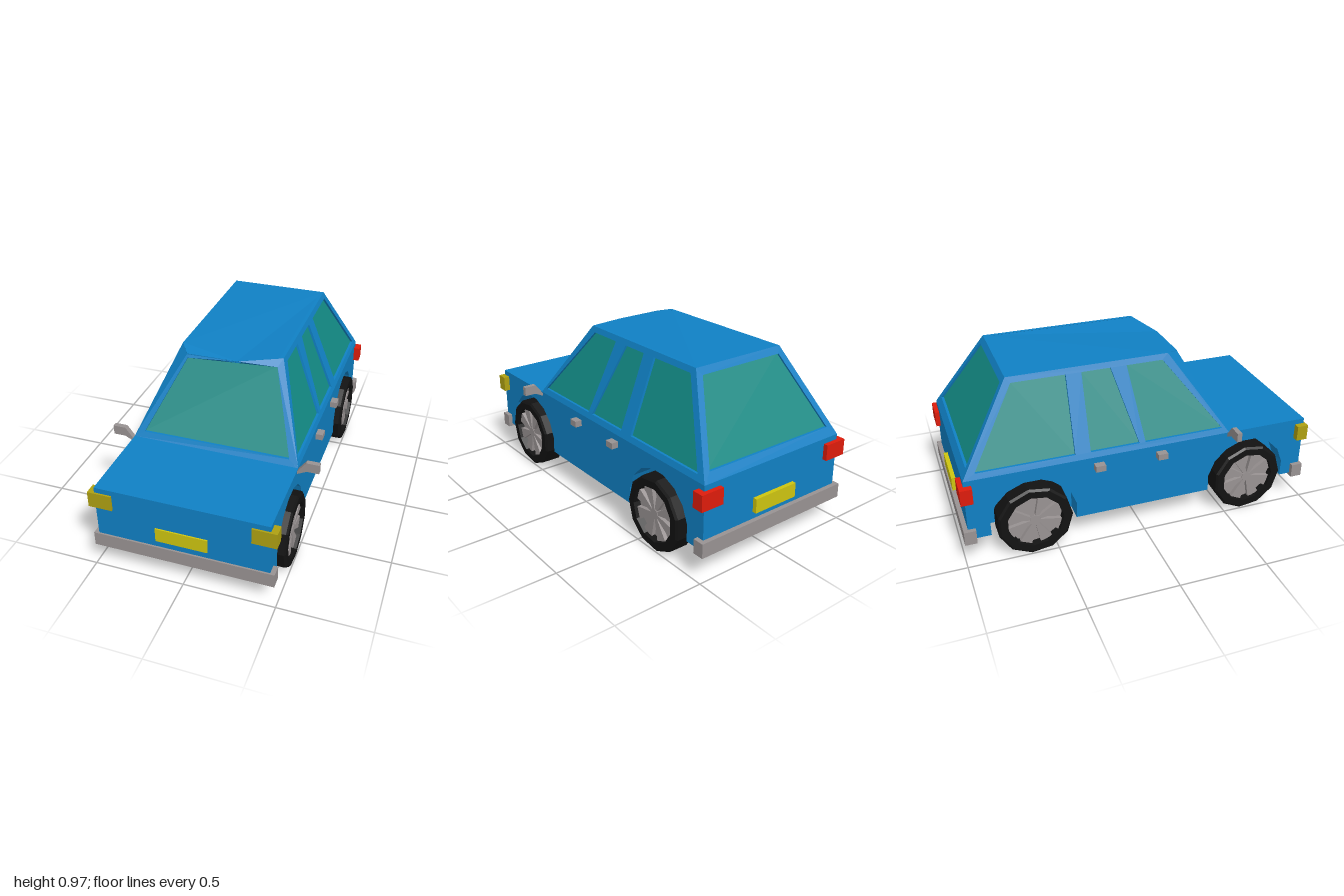
import * as THREE from 'three';

const paint = (color, side = THREE.DoubleSide) =>
  new THREE.MeshStandardMaterial({ color, side, flatShading: true });
const blue = paint(0x1080c4), glass = paint(0x128a84), black = paint(0x121212);
const grey = paint(0x989292), yellow = paint(0xcdc410), amber = paint(0xaea012), red = paint(0xdd1c0c);

function add(parent, name, geometry, material) {
  const mesh = new THREE.Mesh(geometry, material);
  mesh.name = name;
  parent.add(mesh);
  return mesh;
}

function box(parent, name, material, [x0, x1], [y0, y1], [z0, z1]) {
  const mesh = add(parent, name, new THREE.BoxGeometry(x1 - x0, y1 - y0, z1 - z0), material);
  mesh.position.set((x0 + x1) / 2, (y0 + y1) / 2, (z0 + z1) / 2);
  return mesh;
}

const shapeOf = (pts) => new THREE.Shape(pts.map(([a, b]) => new THREE.Vector2(a, b)));

// Places flat (a, b, depth) points in space by a rule
function bend(geometry, place) {
  const p = geometry.attributes.position;
  for (let i = 0; i < p.count; i++) p.setXYZ(i, ...place(p.getX(i), p.getY(i), p.getZ(i)));
  geometry.computeVertexNormals();
  return geometry;
}

// A thin sheet with window openings, and recessed panes in them
function panel(parent, name, outline, windows, place, thick = 0.02) {
  const shape = shapeOf(outline);
  windows.forEach((w) => shape.holes.push(shapeOf(w)));
  const sheet = new THREE.ExtrudeGeometry(shape, { depth: thick, bevelEnabled: false });
  add(parent, name, bend(sheet, (a, b, d) => place(a, b, d - thick)), blue);
  windows.forEach((w) => add(parent, name + 'Glass',
    bend(new THREE.ShapeGeometry(shapeOf(w)), (a, b) => place(a, b, -0.014)), glass));
}

const BELT = 0.515, ROOF = 0.97, SILL = 0.155, HALF = 0.465, FRONT = 0.99, BACK = -0.975;
const rise = (y) => (y - BELT) / (ROOF - BELT);
const AXLES = [0.635, -0.62], HUB_Y = 0.207, ARCH = 0.24;

// Arch points from front to back over one axle, as (-z, y)
function archPoints(axle) {
  const start = Math.asin((SILL - HUB_Y) / ARCH), pts = [];
  for (let i = 0; i <= 9; i++) {
    const t = Math.PI - start + (i / 9) * (2 * start - Math.PI);
    pts.push([-axle + ARCH * Math.cos(t), HUB_Y + ARCH * Math.sin(t)]);
  }
  return pts;
}

function makeWheel() {
  const wheel = new THREE.Group();
  wheel.name = 'wheel';
  const profile = [[0, -0.065], [0.19, -0.065], [0.207, -0.055], [0.207, 0.055], [0.195, 0.065], [0.155, 0.065], [0.15, 0.02]];
  const tyre = new THREE.LatheGeometry(profile.map(([r, h]) => new THREE.Vector2(r, h)), 11);
  add(wheel, 'tyre', tyre.rotateZ(-Math.PI / 2), black);
  const disc = new THREE.CylinderGeometry(0.153, 0.153, 0.01, 11).rotateZ(-Math.PI / 2);
  add(wheel, 'rimDisc', disc, grey).position.x = 0.02;
  add(wheel, 'hub', new THREE.CylinderGeometry(0.03, 0.03, 0.03, 8).rotateZ(-Math.PI / 2), grey).position.x = 0.035;
  const wedge = shapeOf([[-0.008, 0.02], [0.008, 0.02], [0.035, 0.148], [-0.035, 0.148]]);
  for (let i = 0; i < 8; i++) {
    const spoke = new THREE.ExtrudeGeometry(wedge, { depth: 0.025, bevelEnabled: false });
    spoke.rotateY(Math.PI / 2).rotateX((i + 0.5) * Math.PI / 4);
    add(wheel, 'spoke', spoke, grey).position.x = 0.022;
  }
  return wheel;
}

// Everything on one side of the car, built at +x
function makeSide() {
  const side = new THREE.Group();
  side.name = 'side';

  // Lower side with wheel arches cut out
  const arches = AXLES.map(archPoints);
  panel(side, 'lowerSide', [[-FRONT, BELT], [-FRONT, SILL], ...arches[0], ...arches[1], [-BACK, SILL], [-BACK, BELT]],
    [], (a, b, d) => [HALF + d, b, -a], 0.01);

  // Upper side with three windows
  const windows = [
    [[-0.47, 0.545], [0.015 * -1, 0.545], [0.04, 0.94], [-0.165, 0.94]],
    [[0.02, 0.545], [0.295, 0.545], [0.29, 0.94], [0.13, 0.94]],
    [[0.38, 0.545], [0.91, 0.545], [0.665, 0.94], [0.375, 0.94]],
  ];
  panel(side, 'upperSide', [[-0.51, BELT], [-BACK, BELT], [0.69, ROOF], [-0.2, ROOF]], windows,
    (a, b, d) => [HALF - 0.18 * rise(b) + d, b, -a]);

  AXLES.forEach((axle, k) => {
    // Wheel well: curved liner and inner wall
    const liner = new THREE.PlaneGeometry(1, 1, 9, 1);
    bend(liner, (a, b) => {
      const [u, y] = arches[k][Math.round((a + 0.5) * 9)];
      return [b > 0 ? HALF : 0.36, y, -u];
    });
    add(side, 'archLiner', liner, blue);
    add(side, 'archWall', bend(new THREE.ShapeGeometry(shapeOf(arches[k])), (a, b) => [0.36, b, -a]), blue);
    add(side, 'wheelBackplate', new THREE.CircleGeometry(0.18, 11).rotateY(-Math.PI / 2), blue)
      .position.set(0.364, HUB_Y, axle);
    const wheel = makeWheel();
    wheel.position.set(0.435, HUB_Y, axle);
    side.add(wheel);
  });

  // Door handles, lamps
  for (const z of [0.1, -0.255]) box(side, 'doorHandle', grey, [0.46, 0.505], [0.445, 0.48], [z - 0.028, z + 0.028]);
  box(side, 'headlight', amber, [0.37, 0.5], [0.395, 0.485], [0.935, 1]);
  box(side, 'tailLight', red, [0.365, 0.5], [0.395, 0.485], [-1, -0.935]);

  // Wing mirror on a slanted arm
  const mirror = new THREE.ExtrudeGeometry(
    shapeOf([[0.462, 0.49], [0.515, 0.517], [0.58, 0.517], [0.58, 0.57], [0.51, 0.57], [0.462, 0.505]]),
    { depth: 0.028, bevelEnabled: false });
  add(side, 'wingMirror', mirror, grey).position.z = 0.5;
  return side;
}

export function createModel() {
  const car = new THREE.Group();
  car.name = 'car';

  const left = makeSide(), right = makeSide();
  left.name = 'leftSide';
  right.name = 'rightSide';
  right.scale.x = -1;
  car.add(left, right);

  // Bonnet, nose and tail sheets; the underside stays open
  const lower = [[-HALF, SILL], [HALF, SILL], [HALF, BELT], [-HALF, BELT]];
  panel(car, 'nose', lower, [], (a, b, d) => [a, b, FRONT + d], 0.01);
  panel(car, 'tail', lower, [], (a, b, d) => [-a, b, BACK - d], 0.01);
  panel(car, 'bonnet', [[-HALF, -FRONT], [HALF, -FRONT], [HALF, -0.5], [-HALF, -0.5]], [],
    (a, b, d) => [a, BELT + d, -b], 0.01);

  // Windscreen, its top leaning back towards the left
  panel(car, 'windscreen', [[-HALF, BELT], [HALF, BELT], [0.285, ROOF], [0.05, 0.95], [-0.23, 0.95]],
    [[[-0.41, 0.545], [0.41, 0.545], [0.262, 0.93], [-0.225, 0.93]]],
    (a, b, d) => {
      const lean = 0.245 + 0.065 * THREE.MathUtils.clamp((a - 0.05) / 0.235, 0, 1);
      return [a, b, 0.51 - lean * rise(b) + d];
    });
  const pillar = new THREE.BufferGeometry();
  pillar.setAttribute('position', new THREE.Float32BufferAttribute(
    [-HALF, BELT, 0.51, -0.23, 0.95, 0.276, -0.285, ROOF, 0.2], 3));
  pillar.computeVertexNormals();
  add(car, 'rightPillarFiller', pillar, blue);

  // Rear window and roof
  panel(car, 'rearHatch', [[-HALF, BELT], [HALF, BELT], [0.285, ROOF], [-0.285, ROOF]],
    [[[-0.41, 0.56], [0.41, 0.56], [0.26, 0.935], [-0.26, 0.935]]],
    (a, b, d) => [-a, b, BACK + 0.285 * rise(b) - d]);
  panel(car, 'roof', [[-0.285, -0.2], [-0.23, -0.278], [0.05, -0.276], [0.285, -0.2], [0.285, 0.69], [-0.285, 0.69]], [],
    (a, b, d) => [a, ROOF - 0.25 * Math.max(0, -b - 0.2) + d, -b], 0.01);

  // Bumpers and plates at both ends
  for (const [end, z0, z1, p0, p1] of [['front', 0.935, 1, 0.965, 0.998], ['rear', -1, -0.935, -0.998, -0.965]]) {
    box(car, end + 'Bumper', grey, [-0.49, 0.49], [0.14, 0.22], [z0, z1]);
    box(car, end + 'Plate', yellow, [-0.14, 0.14], [0.26, 0.34], [p0, p1]);
  }
  return car;
}
